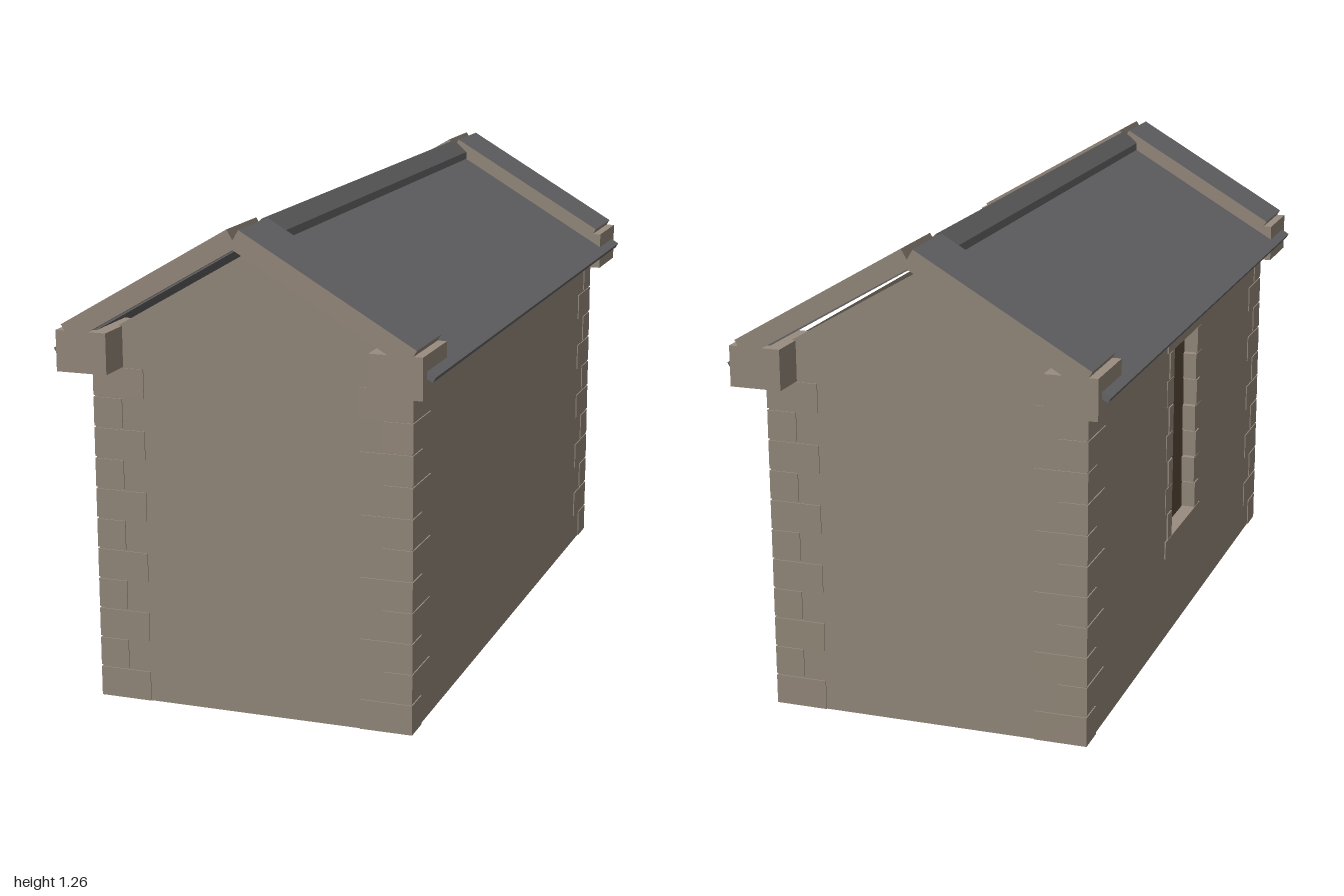
import * as THREE from 'three';

export function createModel() {
  const model = new THREE.Group();
  model.name = 'gabledStoneHouse';

  const mat = (name, color) => {
    const m = new THREE.MeshStandardMaterial({ color, side: THREE.DoubleSide });
    m.name = name;
    return m;
  };
  const stone = mat('stone', 0x998d7f);
  const slate = mat('slate', 0x6a696b);
  const wood = mat('wood', 0x5c4c39);

  const add = (name, geometry, material, parent = model) => {
    const mesh = new THREE.Mesh(geometry, material);
    mesh.name = name;
    parent.add(mesh);
    return mesh;
  };
  const group = (name) => {
    const g = new THREE.Group();
    g.name = name;
    model.add(g);
    return g;
  };
  // Box between two values on each axis, in any order
  const block = (name, material, x, y, z, parent) => {
    const size = [x, y, z].map(([a, b]) => Math.abs(b - a));
    const mesh = add(name, new THREE.BoxGeometry(...size), material, parent);
    mesh.position.set((x[0] + x[1]) / 2, (y[0] + y[1]) / 2, (z[0] + z[1]) / 2);
    return mesh;
  };
  const shapeOf = (pts) => new THREE.Shape(pts.map(([x, y]) => new THREE.Vector2(x, y)));

  const W = 0.42, D = 0.905, EAVE = 0.945, APEX = 1.19;
  const OPEN = 0.125, SILL = 0.29, LINTEL = 0.83;

  // Thin shell walls, open underneath
  const gable = shapeOf([[-W, 0], [W, 0], [W, EAVE], [0, APEX], [-W, EAVE]]);
  const front = add('frontGableWall', new THREE.ShapeGeometry(gable), stone);
  front.position.z = D;
  const back = add('backGableWall', new THREE.ShapeGeometry(gable), stone);
  back.position.z = -D;
  back.rotation.y = Math.PI;

  const side = [[-D, 0], [D, 0], [D, EAVE], [-D, EAVE]];
  const left = add('leftWall', new THREE.ShapeGeometry(shapeOf(side)), stone);
  left.position.x = W;
  left.rotation.y = Math.PI / 2;
  const pierced = shapeOf(side);
  pierced.holes.push(shapeOf([[-OPEN, SILL], [-OPEN, LINTEL], [OPEN, LINTEL], [OPEN, SILL]]));
  const right = add('rightWall', new THREE.ShapeGeometry(pierced), stone);
  right.position.x = -W;
  right.rotation.y = -Math.PI / 2;

  // Corner stones: courses alternate which face gets the long side
  const quoins = group('cornerStones');
  const rows = 11, h = 0.88 / rows, out = 0.003;
  for (const sx of [-1, 1]) for (const sz of [-1, 1]) {
    for (let i = 0; i < rows; i++) {
      const [lx, lz] = i % 2 ? [0.075, 0.14] : [0.135, 0.075];
      block('cornerStone', stone,
        [sx * (W + out), sx * (W - lx)],
        [i * h + (i ? 0.003 : 0), (i + 1) * h - 0.002],
        [sz * (D + out), sz * (D - lz)], quoins);
    }
  }

  // Window surround and recessed boards
  const win = group('window');
  const depth = [-W - 0.004, -0.31];
  block('windowSill', stone, depth, [0.24, SILL], [-0.185, 0.185], win);
  block('windowLintel', stone, depth, [LINTEL, 0.89], [-0.185, 0.185], win);
  const courses = 7, ch = (LINTEL - SILL) / courses;
  for (const s of [-1, 1]) for (let i = 0; i < courses; i++) {
    const odd = i % 2;
    block('jambStone', stone, [depth[0] + odd * 0.002, depth[1] - odd * 0.015],
      [SILL + i * ch + 0.002, SILL + (i + 1) * ch - 0.002],
      [s * (OPEN - odd * 0.006), s * (odd ? 0.185 : 0.165)], win);
  }
  for (let i = 0; i < 4; i++) {
    const z0 = -OPEN + i * OPEN / 2;
    block('windowBoard', wood, [-0.385, -0.36 - (i % 2) * 0.005],
      [SILL, LINTEL], [z0, z0 + OPEN / 2], win);
  }

  // Slab lying along one roof slope, from its top and bottom upper corners
  const slope = (name, s, top, bottom, t, z0, z1, topMat, bodyMat) => {
    const dx = bottom[0] - top[0], dy = bottom[1] - top[1];
    const len = Math.hypot(dx, dy);
    const nx = -dy / len, ny = dx / len;
    const mesh = add(name, new THREE.BoxGeometry(len, t, z1 - z0),
      [bodyMat, bodyMat, topMat, bodyMat, bodyMat, bodyMat]);
    mesh.position.set(s * ((top[0] + bottom[0]) / 2 - nx * t / 2),
      (top[1] + bottom[1]) / 2 - ny * t / 2, (z0 + z1) / 2);
    mesh.rotation.z = s * Math.atan2(dy, dx);
  };
  for (const s of [-1, 1]) {
    slope('roofSlope', s, [0.004, 1.222], [0.497, 0.932], 0.015, -0.97, 0.97, slate, slate);
    for (const e of [-1, 1]) {
      const z = [e * 0.81, e * 1.0];
      slope('gableCoping', s, [0.015, 1.26], [0.46, 1.0], 0.05,
        Math.min(...z), Math.max(...z), slate, stone);
      block('kneelerStone', stone, [s * 0.34, s * 0.475], [0.88, 0.985], z);
    }
  }

  // Ridge cap between the copings
  const cap = new THREE.ExtrudeGeometry(
    shapeOf([[-0.04, 1.2], [0.04, 1.2], [0.04, 1.222], [0, 1.258], [-0.04, 1.222]]),
    { depth: 1.62, bevelEnabled: false });
  cap.translate(0, 0, -0.81);
  add('ridgeCap', cap, slate);

  return model;
}
